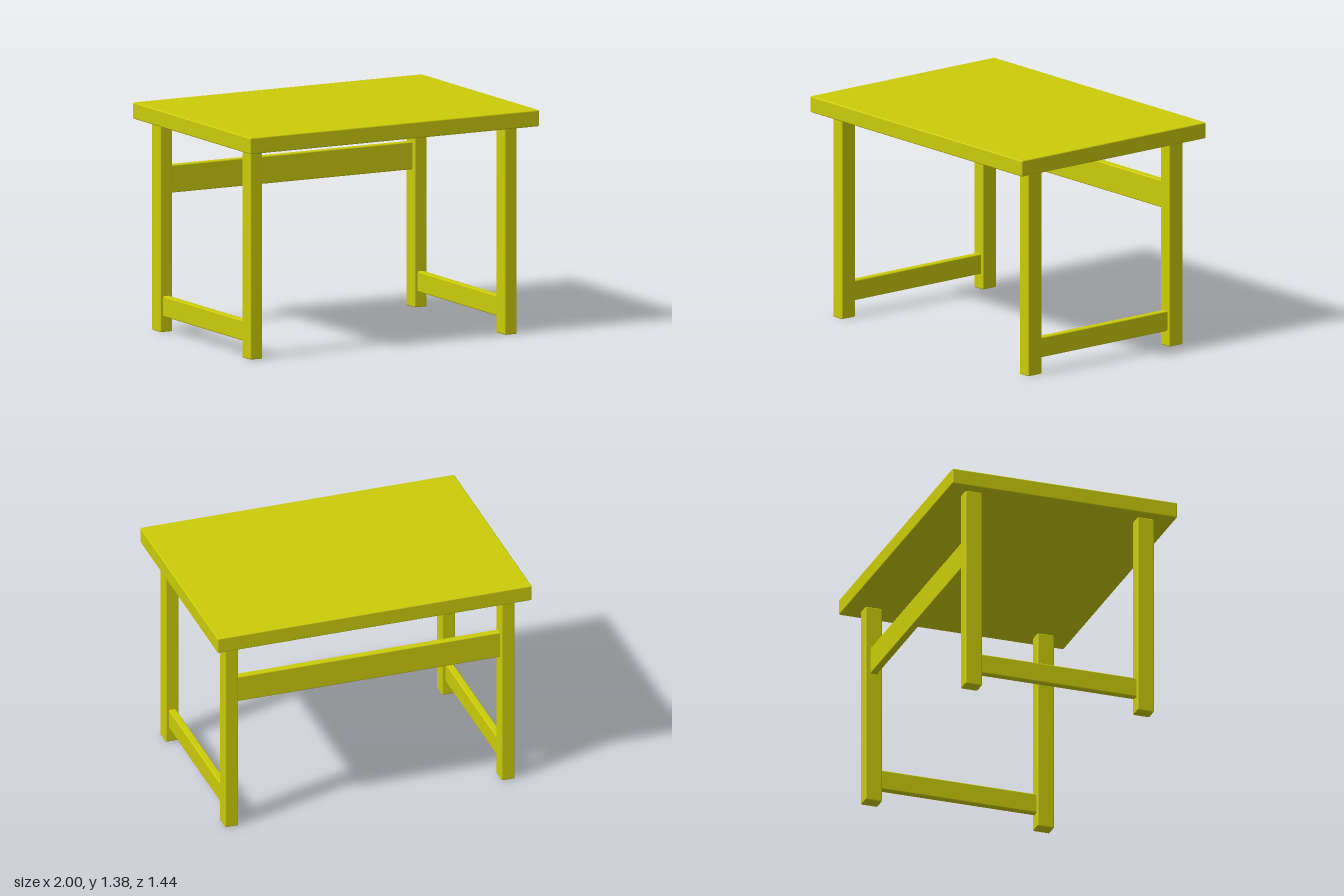
import * as THREE from 'three';
import { RoundedBoxGeometry } from 'three/addons/geometries/RoundedBoxGeometry.js';

export function createModel() {
  const table = new THREE.Group();
  table.name = 'table';
  const paint = new THREE.MeshStandardMaterial({ color: 0xcccc0a });

  // Softly rounded board spanning the given ranges
  function board(name, [x0, x1], [y0, y1], [z0, z1]) {
    const geometry = new RoundedBoxGeometry(x1 - x0, y1 - y0, z1 - z0, 2, 0.008);
    const mesh = new THREE.Mesh(geometry, paint);
    mesh.name = name;
    mesh.position.set((x0 + x1) / 2, (y0 + y1) / 2, (z0 + z1) / 2);
    table.add(mesh);
  }

  const around = (centre, size) => [centre - size / 2, centre + size / 2];
  const legX = { right: -0.887, left: 0.872 };
  const legZ = { Front: 0.545, Back: -0.557 };
  const sink = 0.01; // rail ends tucked into the legs

  // Table top
  board('tableTop', [-1, 1], [1.28, 1.38], [-0.72, 0.72]);

  for (const [side, x] of Object.entries(legX)) {
    // Legs
    for (const [end, z] of Object.entries(legZ)) {
      board(`${side}${end}Leg`, around(x, 0.085), [0, 1.283], around(z, 0.106));
    }
    // Low side rail joining front and back legs
    board(`${side}SideRail`, around(x, 0.045), [0.095, 0.22], [-0.504 - sink, 0.492 + sink]);
  }

  // Back rail under the top
  board('backRail', [-0.844 - sink, 0.83 + sink], [0.84, 1.01], around(legZ.Back, 0.045));

  return table;
}
